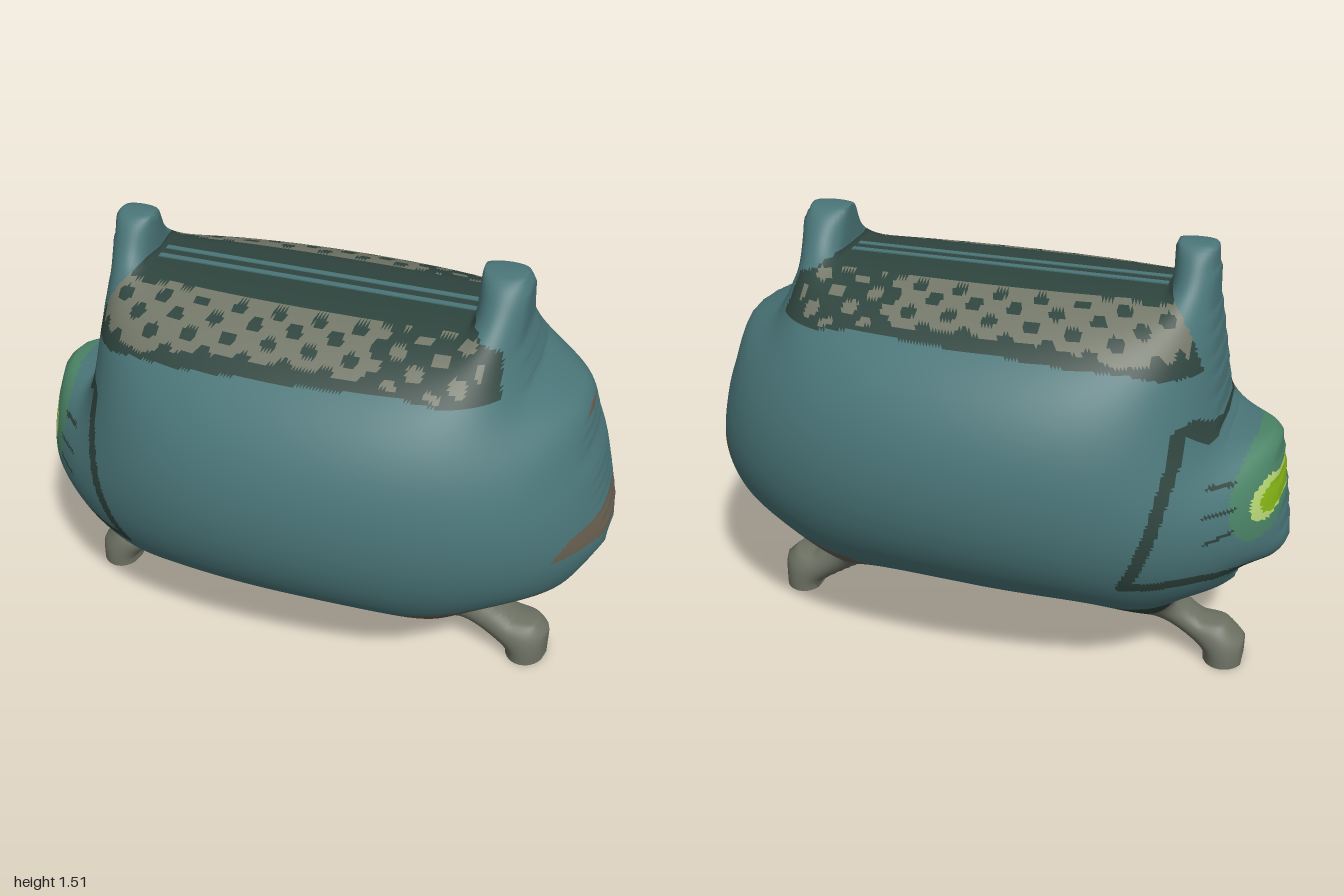
import * as THREE from 'three';

// Side outline of the whole creature: posts, rump, legs, belly, head
const OUTLINE = [
  [-.695, 1.5], [-.68, 1.515], [-.57, 1.515], [-.56, 1.49], [-.56, 1.375], [.51, 1.375], [.51, 1.515], [.64, 1.515],
  [.66, 1.48], [.66, 1.34], [.71, 1.22], [.86, 1.14], [.88, 1.11], [.91, 1], [.94, .93], [1, .68], [.99, .62],
  [.93, .51], [.89, .43], [.74, .385], [.65, .35], [.58, .25], [.6, .23], [.72, .16], [.81, .15], [.85, .11],
  [.85, -.2], [.71, -.2], [.71, .02], [.3, .29], [0, .28], [-.1, .275], [-.4, .28], [-.75, .04], [-.76, -.2],
  [-.89, -.2], [-.89, .09], [-.83, .15], [-.74, .16], [-.65, .22], [-.65, .25], [-.71, .33], [-.84, .36],
  [-.87, .47], [-.96, .48], [-1, .54], [-.99, .6], [-.94, .9], [-.92, .92], [-.79, .93], [-.765, .96], [-.71, 1.32],
];
const PANEL = [[-.7, 1.17], [-.66, 1.28], [-.62, 1.34], [-.56, 1.4], [.5, 1.4], [.56, 1.36], [.62, 1.34], [.64, 1.23],
  [.5, 1.23], [.35, 1.25], [-.1, 1.24], [-.5, 1.21], [-.6, 1.18]];
const PATCHES = [
  [[.14, .34], [.14, .39], [.35, .4], [.4, .45], [.6, .48], [.85, .53], [.87, .49], [.7, .44], [.6, .4], [.45, .37], [.3, .33]],
  [[.85, .7], [.9, .77], [1.02, .8], [1.02, .68], [.95, .7]],
  [[.865, 1.16], [.92, 1.16], [.96, 1.07], [.885, 1.08]],
];
const FACE_LINE = [[-.75, .97], [-.69, 1.025], [-.66, 1.02], [-.66, .95], [-.62, .75], [-.58, .62], [-.54, .53],
  [-.62, .525], [-.75, .53], [-.94, .5]];
const WHISKERS = [[[-.84, .77], [-.76, .77]], [[-.83, .84], [-.76, .85]], [[-.84, .7], [-.77, .68]]];
const RUMP_LINE = [[.68, .36], [.89, .43], [.92, .5]];

function inside(poly, x, y) {
  let hit = false;
  for (let i = 0, j = poly.length - 1; i < poly.length; j = i++) {
    const [ax, ay] = poly[i], [bx, by] = poly[j];
    if ((ay > y) !== (by > y) && x < ax + (bx - ax) * (y - ay) / (by - ay)) hit = !hit;
  }
  return hit;
}

// Nearest point on a path: [x, y, distance]
function nearest(path, x, y, closed = false) {
  let best = [0, 0, Infinity];
  for (let i = closed ? 0 : 1; i < path.length; i++) {
    const [ax, ay] = path[(i || path.length) - 1], [bx, by] = path[i];
    const dx = bx - ax, dy = by - ay;
    const t = Math.min(1, Math.max(0, ((x - ax) * dx + (y - ay) * dy) / (dx * dx + dy * dy)));
    const px = ax + t * dx, py = ay + t * dy, d = Math.hypot(x - px, y - py);
    if (d < best[2]) best = [px, py, d];
  }
  return best;
}
const near = (path, x, y, w) => nearest(path, x, y)[2] < w;
const oval = (x, y, cx, cy, rx, ry) => ((x - cx) / rx) ** 2 + ((y - cy) / ry) ** 2 < 1;

// Which part a spot on the skin belongs to
function partAt(x, y, z) {
  const az = Math.abs(z);
  if (oval(x, y, -.942, .757, .03, .045)) return 'pupil';
  if (oval(x, y, -.93, .76, .046, .065)) return 'eyeRing';
  if (oval(x, y, -.91, .79, .085, .15) && !WHISKERS.some(w => near(w, x, y, .005))) return 'eyeHalo';
  if (near(FACE_LINE, x, y, .02) || WHISKERS.some(w => near(w, x, y, .006))) return 'faceMarkings';
  if (inside(PANEL, x, y)) {
    const wave = Math.cos(x * 2 * Math.PI / .13) * Math.cos((az - .21) * 2 * Math.PI / .11);
    const inBand = az > .16 && az < .375 && x > -.66 && x < .58 && y > 1.225;
    return inBand && wave > (x < .25 ? -.35 : .3) ? 'backScales' : 'backPanel';
  }
  if (y < .25) return 'legs';
  if (PATCHES.some(p => inside(p, x, y))) return 'rustPatches';
  if (y < (Math.abs(x) > .45 ? .355 : .31) || near(RUMP_LINE, x, y, .02)) return 'belly';
  return 'bodyShell';
}

// Puffed height over the outline: solves a membrane on a grid, then takes its root
const STEP = .01, NX = 205, NY = 154, X0 = -1.02;
function inflate(depth) {
  const u = new Float64Array(NX * NY), solid = new Uint8Array(NX * NY), cells = [];
  for (let j = 0; j < NY; j++) for (let i = 1; i < NX - 1; i++) {
    if (!inside(OUTLINE, X0 + i * STEP, j * STEP + 1e-5)) continue;
    solid[j * NX + i] = 1;
    cells.push(j * NX + i);
  }
  for (let pass = 0; pass < 500; pass++) {
    for (const n of cells) {
      const below = n < NX ? u[n + NX] : u[n - NX];
      u[n] += 1.95 * ((u[n - 1] + u[n + 1] + u[n + NX] + below + STEP * STEP) / 4 - u[n]);
    }
  }
  const top = cells.reduce((m, n) => Math.max(m, u[n]), 0);
  return { solid, z: u.map(v => depth * Math.sqrt(Math.max(v, 0) / top)) };
}

export function createModel() {
  const group = new THREE.Group();
  const mat = (name, color) => {
    const m = new THREE.MeshStandardMaterial({ color });
    m.name = name;
    return m;
  };
  const teal = mat('teal', 0x4a7578), dark = mat('dark green', 0x2f443e), stone = mat('stone', 0x737768);
  const bone = mat('leg grey', 0x6c7062), rust = mat('rust brown', 0x685f50), moss = mat('moss green', 0x4a8265);
  const pale = mat('pale lime', 0xb5d574), lime = mat('lime', 0x86b416);
  const materials = {
    bodyShell: teal, backPanel: dark, backScales: stone, belly: dark, faceMarkings: dark, legs: bone,
    rustPatches: rust, eyeHalo: moss, eyeRing: pale, pupil: lime,
  };

  // Skin: mirrored front and back sheets that share a rim on the outline
  const { solid, z } = inflate(.63);
  const points = [], front = new Map(), back = new Map(), faces = {}, all = [], sole = [];
  const add = (x, y, d) => points.push(x, y, d) / 3 - 1;
  const vertex = n => {
    if (front.has(n)) return;
    const x = X0 + (n % NX) * STEP, y = Math.floor(n / NX) * STEP;
    if (solid[n]) {
      front.set(n, add(x, y, z[n]));
      back.set(n, add(x, y, -z[n]));
    } else {
      const [px, py] = nearest(OUTLINE, x, y, true);
      const rim = add(px, Math.max(0, py), 0);
      front.set(n, rim);
      back.set(n, rim);
    }
  };
  const triangle = (a, b, c) => {
    if (a === b || b === c || a === c) return;
    const mid = k => (points[a * 3 + k] + points[b * 3 + k] + points[c * 3 + k]) / 3;
    (faces[partAt(mid(0), mid(1), mid(2))] ??= []).push(a, b, c);
    all.push(a, b, c);
  };
  for (let j = 0; j < NY - 1; j++) for (let i = 0; i < NX - 1; i++) {
    const a = j * NX + i, quad = [a, a + 1, a + NX + 1, a + NX];
    if (!quad.some(n => solid[n])) continue;
    quad.forEach(vertex);
    const corners = solid[quad[0]] === solid[quad[2]] ? [0, 1, 2, 0, 2, 3] : [0, 1, 3, 1, 2, 3];
    for (let k = 0; k < 6; k += 3) {
      const t = corners.slice(k, k + 3).map(c => quad[c]);
      if (!t.some(n => solid[n])) continue;
      triangle(...t.map(n => front.get(n)));
      triangle(...t.reverse().map(n => back.get(n)));
    }
    if (j === 0) {
      const [f0, f1, b0, b1] = [front.get(a), front.get(a + 1), back.get(a), back.get(a + 1)];
      sole.push(f0, b1, f1, f0, b0, b1);
    }
  }

  const skin = new THREE.BufferGeometry();
  skin.setAttribute('position', new THREE.Float32BufferAttribute(points, 3));
  skin.setIndex(all);
  skin.computeVertexNormals();
  const place = (name, geometry, material) => {
    const mesh = new THREE.Mesh(geometry, material);
    mesh.name = name;
    group.add(mesh);
    return mesh;
  };
  for (const [name, index] of Object.entries(faces)) {
    const part = new THREE.BufferGeometry();
    part.setAttribute('position', skin.attributes.position);
    part.setAttribute('normal', skin.attributes.normal);
    part.setIndex(index);
    place(name, part, materials[name]);
  }

  // Flat soles under the feet
  const soles = new THREE.BufferGeometry();
  soles.setAttribute('position', new THREE.Float32BufferAttribute(sole.flatMap(v => points.slice(v * 3, v * 3 + 3)), 3));
  soles.computeVertexNormals();
  place('footSoles', soles, bone);

  // Twin stripes along the ridge of the back
  for (const side of [-1, 1]) {
    place('ridgeStripe', new THREE.BoxGeometry(1.05, .006, .022), teal).position.set(-.025, 1.374, side * .028);
  }
  return group;
}
